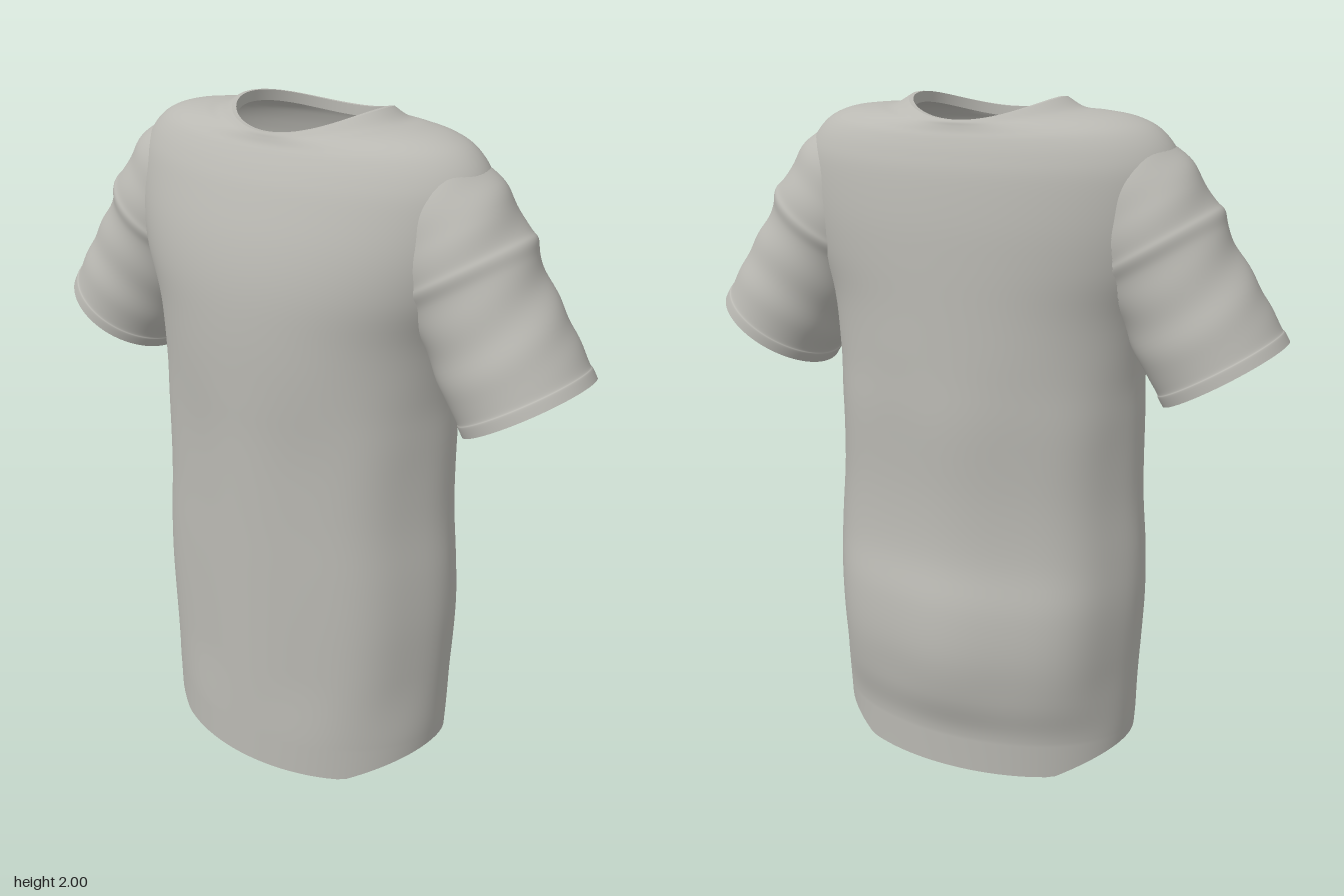
import * as THREE from 'three';

const SIDES = 96;
const fabric = new THREE.MeshStandardMaterial({ color: 0xbab9b3, side: THREE.DoubleSide });
fabric.name = 'grey fabric';

// Surface from rings of points; faces for which skip() holds at every corner are left out
function loft(name, rings, skip = () => false) {
  const pts = rings.flat(), index = [];
  const tri = (...c) => { if (!c.every(i => skip(pts[i]))) index.push(...c); };
  for (let r = 0; r < rings.length - 1; r++) {
    for (let i = 0; i < SIDES; i++) {
      const a = r * SIDES + i, b = r * SIDES + (i + 1) % SIDES;
      tri(a, a + SIDES, b);
      tri(b, a + SIDES, b + SIDES);
    }
  }
  const g = new THREE.BufferGeometry().setFromPoints(pts);
  g.setIndex(index);
  g.computeVertexNormals();
  const mesh = new THREE.Mesh(g, fabric);
  mesh.name = name;
  return mesh;
}

const ring = fn => Array.from({ length: SIDES }, (_, i) => fn(i / SIDES * Math.PI * 2));

// Torso levels: height at the sides, dip at front and back, half width, front depth, back depth
const LEVELS = [
  [0.08, 0, 0.480, 0.345, 0.290], [0.15, 0, 0.485, 0.345, 0.300],
  [0.26, 0, 0.490, 0.345, 0.335], [0.40, 0, 0.498, 0.345, 0.355],
  [0.55, 0, 0.504, 0.345, 0.345], [0.70, 0, 0.500, 0.345, 0.312],
  [0.88, 0, 0.486, 0.345, 0.302], [1.10, 0, 0.482, 0.347, 0.308],
  [1.25, 0, 0.476, 0.352, 0.305], [1.42, 0, 0.490, 0.355, 0.303],
  [1.56, 0, 0.540, 0.348, 0.302], [1.68, 0, 0.566, 0.325, 0.298],
  [1.80, 0, 0.568, 0.285, 0.285], [1.87, 0.01, 0.545, 0.258, 0.270],
  [1.925, 0.025, 0.495, 0.235, 0.255], [1.955, 0.035, 0.425, 0.222, 0.245],
  [1.967, 0.032, 0.340, 0.216, 0.240], [1.972, 0.028, 0.275, 0.213, 0.238],
  [2.0, 0.05, 0.222, 0.210, 0.234],
];
const curveA = new THREE.CatmullRomCurve3(LEVELS.map(l => new THREE.Vector3(l[0], l[1], 0)), false, 'catmullrom', 0.5);
const curveB = new THREE.CatmullRomCurve3(LEVELS.map(l => new THREE.Vector3(l[2], l[3], l[4])), false, 'catmullrom', 0.5);
const STEPS = (LEVELS.length - 1) * 5;
const SECTIONS = Array.from({ length: STEPS + 1 }, (_, i) => {
  const a = curveA.getPoint(i / STEPS), b = curveB.getPoint(i / STEPS);
  return { y: a.x, dip: a.y, w: b.x, f: b.y, b: b.z };
});

// Soft vertical folds fade out at the hem and the chest
function torsoPoint(s, t, inset = 0) {
  const fade = THREE.MathUtils.smoothstep(s.y, 0.08, 0.35) * (1 - THREE.MathUtils.smoothstep(s.y, 1.0, 1.35));
  const k = 1 + 0.012 * fade * (Math.cos(8 * t) - 1);
  const c = Math.cos(t), n = Math.sin(t);
  return new THREE.Vector3((s.w - inset) * c * k, s.y - s.dip * n * n, ((n > 0 ? s.f : s.b) - inset) * n * k);
}

// Hem drops to the ground at front and back and arches up at the sides
function hemPoint(t, inset = 0, lift = 0) {
  const p = torsoPoint(SECTIONS[0], t, inset);
  p.y = lift + 0.08 * Math.max(0, (Math.abs(p.x) - 0.31) / 0.17);
  return p;
}

// Sleeve frame: origin at the cuff centre, local y runs up to the shoulder
const CUFF = new THREE.Vector3(0.715, 1.27, 0), TILT = 0.547, Z = new THREE.Vector3(0, 0, 1);
const toSleeve = p => new THREE.Vector3(Math.abs(p.x), p.y, p.z).sub(CUFF).applyAxisAngle(Z, -TILT);
const toTorso = p => p.clone().applyAxisAngle(Z, TILT).add(CUFF);

function inSleeve(p) {
  const q = toSleeve(p);
  return q.y > 0 && q.y < 0.56 && Math.hypot(q.x, q.z) < 0.172;
}

function inTorso(local) {
  const p = toTorso(local);
  const s = SECTIONS.find(k => k.y >= p.y) || SECTIONS[STEPS];
  return (p.x / s.w) ** 2 + (p.z / (p.z > 0 ? s.f : s.b)) ** 2 < 0.93;
}

function createSleeve() {
  const sleeve = new THREE.Group();
  // Distance from the cuff and radius, with a fold near the middle
  const profile = [[0, 0.195], [0.03, 0.195], [0.045, 0.192], [0.12, 0.194], [0.22, 0.19], [0.30, 0.187],
    [0.36, 0.191], [0.40, 0.2], [0.43, 0.194], [0.5, 0.19], [0.57, 0.182], [0.66, 0.15]];
  const curve = new THREE.SplineCurve(profile.map(p => new THREE.Vector2(...p)));
  const rings = curve.getPoints(66).map(({ x: d, y: r }) => ring(t => {
    // Small slanted creases on the cloth
    const crease = 0.003 * Math.sin(d * 38 + 3 * Math.sin(t)) * THREE.MathUtils.smoothstep(d, 0.05, 0.2);
    return new THREE.Vector3((r + crease) * Math.cos(t), d, (r + crease) * Math.sin(t));
  }));
  const cuffRing = (r, y) => ring(t => new THREE.Vector3(r * Math.cos(t), y, r * Math.sin(t)));
  sleeve.add(loft('sleeveTube', rings, inTorso));
  sleeve.add(loft('cuffEdge', [cuffRing(0.181, 0), cuffRing(0.195, 0)]));
  sleeve.add(loft('cuffLining', [cuffRing(0.181, 0), cuffRing(0.181, 0.04)]));
  sleeve.position.copy(CUFF);
  sleeve.rotation.z = TILT;
  return sleeve;
}

export function createModel() {
  const shirt = new THREE.Group();
  shirt.name = 'shirt';

  // Body with open armholes
  const body = [ring(t => hemPoint(t)), ...SECTIONS.slice(2).map(s => ring(t => torsoPoint(s, t)))];
  shirt.add(loft('body', body, inSleeve));

  // Hem and collar thickness
  shirt.add(loft('hemEdge', [ring(t => hemPoint(t, 0.012)), ring(t => hemPoint(t))]));
  shirt.add(loft('hemLining', [ring(t => hemPoint(t, 0.012)), ring(t => hemPoint(t, 0.012, 0.03))]));
  const top = SECTIONS[STEPS];
  const inner = ring(t => torsoPoint(top, t, 0.012));
  shirt.add(loft('collarEdge', [ring(t => torsoPoint(top, t)), inner]));
  shirt.add(loft('collarLining', [inner, inner.map(p => p.clone().setY(p.y - 0.03))]));

  // Flat panel closing the bottom between the side arches
  const outline = ring(t => hemPoint(t, 0.004)).filter(p => Math.abs(p.x) <= 0.315);
  const panel = new THREE.Mesh(
    new THREE.ShapeGeometry(new THREE.Shape(outline.map(p => new THREE.Vector2(p.x, -p.z)))), fabric);
  panel.name = 'bottomPanel';
  panel.rotation.x = -Math.PI / 2;
  panel.position.y = 0.01;
  shirt.add(panel);

  // Sleeves, the right one turned half round
  for (const [name, turn] of [['leftSleeve', 0], ['rightSleeve', Math.PI]]) {
    const side = new THREE.Group();
    side.name = name;
    side.rotation.y = turn;
    side.add(createSleeve());
    shirt.add(side);
  }
  return shirt;
}
